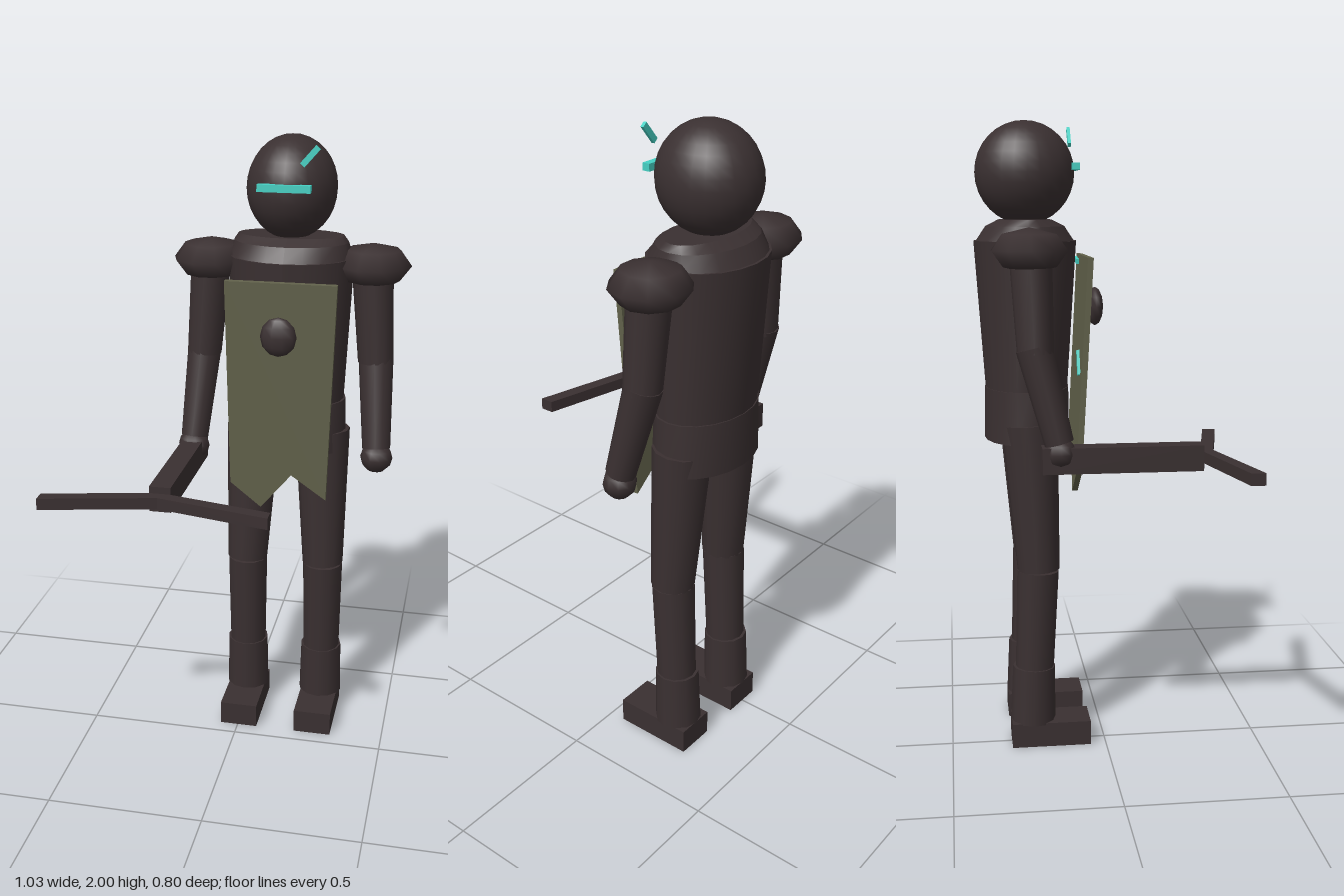
import * as THREE from 'three';

const CX = 0.132, CZ = -0.236; // body axis

export function createModel() {
  const model = new THREE.Group();
  model.name = 'armouredFigure';
  const mat = (name, color) => new THREE.MeshStandardMaterial({ name, color });
  const dark = mat('dark armour', 0x3a3031);
  const olive = mat('olive cloth', 0x62624b);
  const cyan = mat('cyan glow', 0x45d0c3);

  const add = (name, geo, material, x = 0, y = 0, z = 0) => {
    const mesh = new THREE.Mesh(geo, material);
    mesh.name = name;
    mesh.position.set(x, y, z);
    model.add(mesh);
    return mesh;
  };
  const ball = (name, x, y, z, rx, ry, rz, ws, hs) =>
    add(name, new THREE.SphereGeometry(1, ws, hs).scale(rx, ry, rz), dark, x, y, z);
  // tapered limb between two points, radius r0 at a and r1 at b
  const limb = (name, a, b, r0, r1) => {
    const p = new THREE.Vector3(...a), q = new THREE.Vector3(...b);
    const d = q.clone().sub(p);
    const m = add(name, new THREE.CylinderGeometry(r1, r0, d.length(), 12), dark);
    m.position.copy(p).add(q).multiplyScalar(0.5);
    m.quaternion.setFromUnitVectors(new THREE.Vector3(0, 1, 0), d.normalize());
  };
  // tapered oval drum standing upright on the body axis
  const drum = (name, y0, y1, bottom, top) => {
    const geo = new THREE.CylinderGeometry(1, 1, y1 - y0, 20);
    const p = geo.attributes.position;
    for (let i = 0; i < p.count; i++) {
      const r = p.getY(i) > 0 ? top : bottom;
      p.setX(i, p.getX(i) * r[0]);
      p.setZ(i, p.getZ(i) * r[1]);
    }
    geo.computeVertexNormals();
    add(name, geo, dark, CX, (y0 + y1) / 2, CZ);
  };

  // head and trunk
  ball('head', CX, 1.84, -0.235, 0.141, 0.16, 0.157, 24, 16);
  drum('collar', 1.675, 1.695, [0.182, 0.125], [0.168, 0.085]);
  drum('shoulderYoke', 1.63, 1.675, [0.195, 0.155], [0.182, 0.125]);
  drum('chest', 1.165, 1.63, [0.18, 0.132], [0.2, 0.163]);
  drum('pelvis', 1.0, 1.167, [0.193, 0.137], [0.187, 0.135]);

  // limbs, mirrored about the body axis
  for (const s of [-1, 1]) {
    const side = s < 0 ? 'right' : 'left';
    const X = (d) => CX + s * d;
    ball(side + 'Pauldron', X(0.258), 1.608, -0.239, 0.121, 0.068, 0.119, 10, 4);
    limb(side + 'UpperArm', [X(0.258), 1.6, -0.236], [X(0.28), 1.3, -0.225], 0.065, 0.056);
    limb(side + 'Forearm', [X(0.28), 1.32, -0.23], [X(0.3), 1.03, -0.157], 0.056, 0.045);
    ball(side + 'Hand', X(0.302), 1.0, -0.155, 0.052, 0.05, 0.05, 10, 6);

    limb(side + 'Thigh', [X(0.114), 1.06, -0.235], [X(0.13), 0.585, -0.212], 0.09, 0.068);
    limb(side + 'Shin', [X(0.13), 0.583, -0.214], [X(0.13), 0.1, -0.234], 0.067, 0.06);
    limb(side + 'Boot', [X(0.13), 0.075, -0.235], [X(0.13), 0.26, -0.23], 0.073, 0.069);
    add(side + 'Foot', new THREE.BoxGeometry(0.126, 0.08, 0.255), dark, X(0.129), 0.04, -0.178);
  }

  // tattered tabard hanging in front, leaning back toward the hem
  const cloth = new THREE.Shape([
    [-0.042, 0], [-0.03, -0.675], [0.07, -0.757], [0.17, -0.635], [0.283, -0.715], [0.306, 0],
  ].map(([x, y]) => new THREE.Vector2(x, y)));
  const tabard = add('tabard', new THREE.ExtrudeGeometry(cloth, { depth: 0.018, bevelEnabled: false }),
    olive, 0, 1.582, -0.054);
  tabard.rotation.x = 0.055;
  ball('chestBoss', CX, 1.42, -0.014, 0.057, 0.062, 0.027, 10, 6);

  // glowing visor and streaks: x, y, z, length, height, tilt
  const streaks = [
    ['visor', 0.132, 1.858, -0.08, 0.163, 0.022, 0.024, 0],
    ['browStreak', 0.208, 1.953, -0.088, 0.07, 0.018, 0.01, 0.85],
    ['chestStreak', 0.25, 1.562, -0.06, 0.07, 0.016, 0.009, 0.1],
    ['bellyStreak', 0.03, 1.25, -0.078, 0.08, 0.016, 0.009, 1.2],
  ];
  for (const [name, x, y, z, w, h, d, tilt] of streaks)
    add(name, new THREE.BoxGeometry(w, h, d), cyan, x, y, z).rotation.z = tilt;

  // crossbow held flat in the right hand
  add('crossbowStock', new THREE.BoxGeometry(0.067, 0.08, 0.495), dark, -0.17, 0.98, 0.037);
  const bow = new THREE.Shape([
    [-0.35, -0.355], [0, -0.278], [0.35, -0.355], [0.35, -0.398], [0, -0.318], [-0.35, -0.398],
  ].reverse().map(([x, y]) => new THREE.Vector2(x, y)));
  add('crossbowLimbs', new THREE.ExtrudeGeometry(bow, { depth: 0.036, bevelEnabled: false })
    .rotateX(-Math.PI / 2), dark, -0.17, 0.963, 0);

  return model;
}
